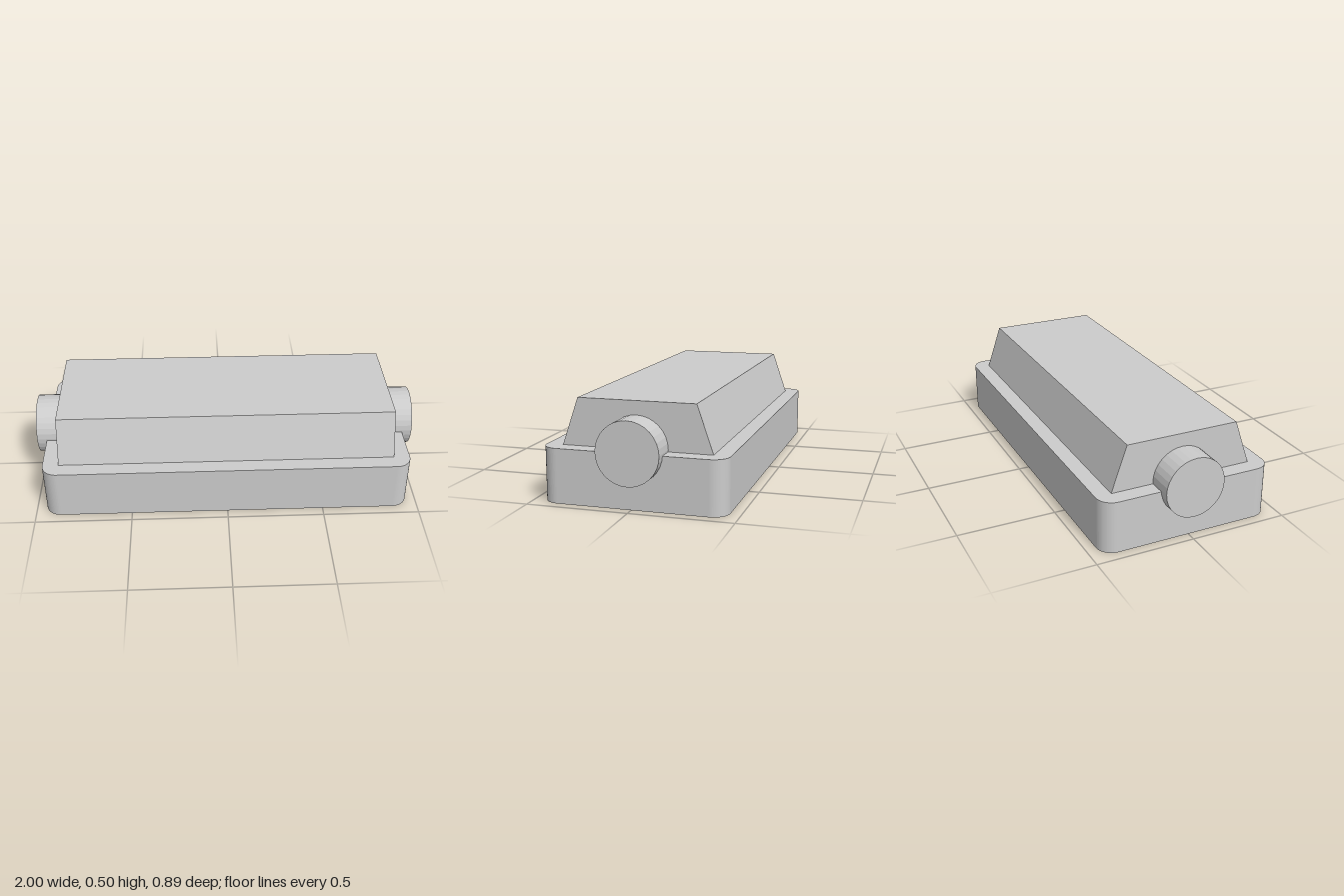
import * as THREE from 'three';

const BASE_TOP = 0.265, RECESS = 0.04;

// Rounded rectangle outline centred on the origin
function roundedRect(w, d, r) {
  const s = new THREE.Shape(), x = w / 2 - r, y = d / 2 - r;
  s.absarc(x, y, r, 0, Math.PI / 2);
  s.absarc(-x, y, r, Math.PI / 2, Math.PI);
  s.absarc(-x, -y, r, Math.PI, Math.PI * 1.5);
  s.absarc(x, -y, r, Math.PI * 1.5, Math.PI * 2);
  s.closePath();
  return s;
}

export function createModel() {
  const group = new THREE.Group();
  const material = new THREE.MeshStandardMaterial({ color: 0xcccccc, flatShading: true });
  const add = (name, geometry) => {
    const mesh = new THREE.Mesh(geometry, material);
    mesh.name = name;
    group.add(mesh);
    return mesh;
  };

  // Upright slab from a plan outline
  const slab = (shape, y0, y1) =>
    new THREE.ExtrudeGeometry(shape, { depth: y1 - y0, bevelEnabled: false, curveSegments: 8 })
      .rotateX(-Math.PI / 2).translate(0, y0, 0);

  // Base: a rim around the shallow rectangular recess, then the solid block
  const rim = roundedRect(1.9, 0.895, 0.08);
  rim.holes.push(new THREE.Path([
    new THREE.Vector2(-0.85, -0.35), new THREE.Vector2(-0.85, 0.35),
    new THREE.Vector2(0.85, 0.35), new THREE.Vector2(0.85, -0.35),
  ]));
  add('baseRim', slab(rim, 0, RECESS));
  add('baseBlock', slab(roundedRect(1.9, 0.895, 0.08), RECESS, BASE_TOP));

  // Upper housing: trapezoid section run along x
  const section = new THREE.Shape([
    new THREE.Vector2(-0.367, BASE_TOP), new THREE.Vector2(0.367, BASE_TOP),
    new THREE.Vector2(0.288, 0.495), new THREE.Vector2(-0.288, 0.495),
  ]);
  add('housing', new THREE.ExtrudeGeometry(section, { depth: 1.734, bevelEnabled: false })
    .translate(0, 0, -0.867).rotateY(Math.PI / 2));

  // Round end stubs
  for (const [name, side] of [['leftStub', 1], ['rightStub', -1]]) {
    add(name, new THREE.CylinderGeometry(0.153, 0.153, 0.2, 32).rotateZ(Math.PI / 2))
      .position.set(side * 0.9, 0.275, 0);
  }
  return group;
}
